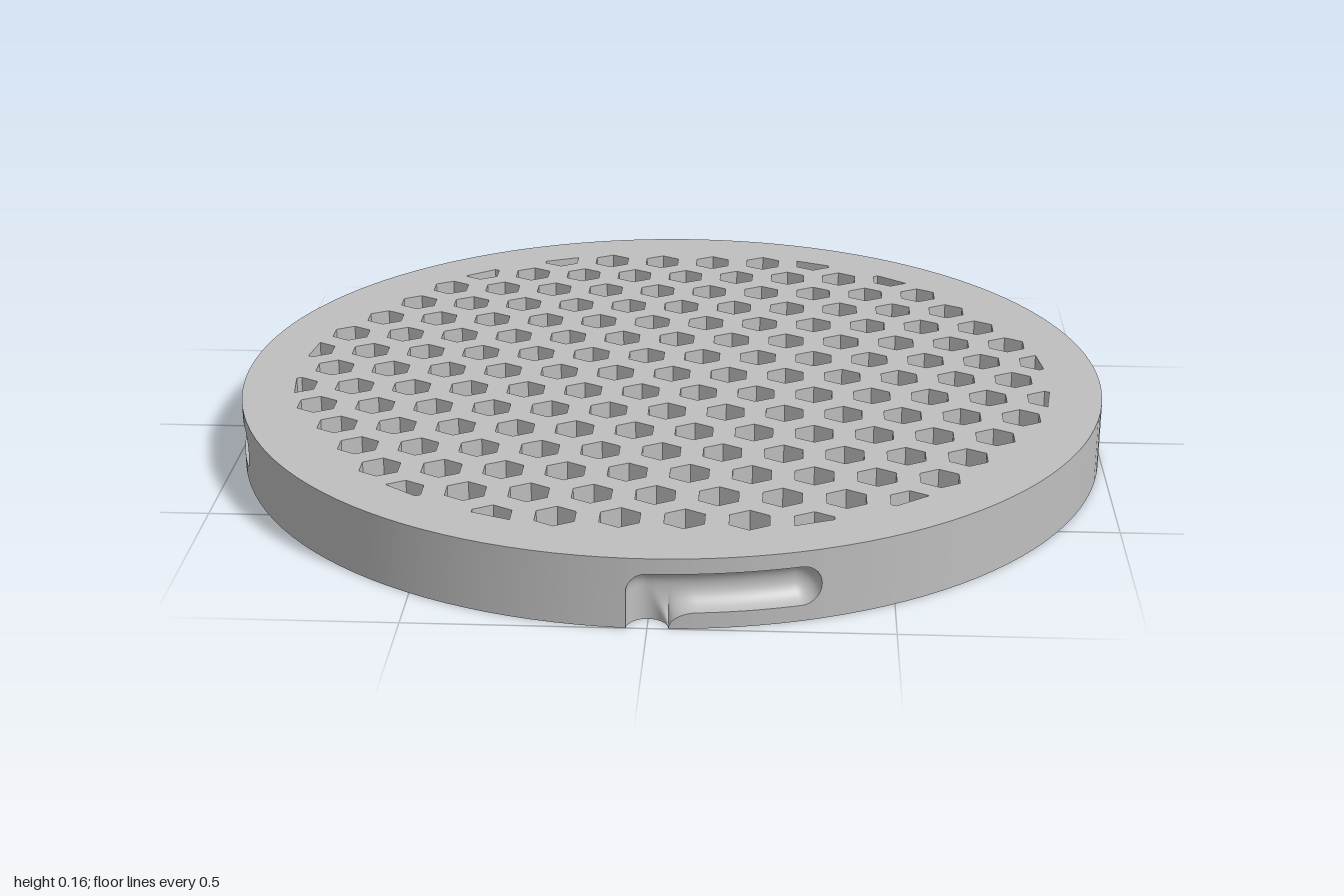
import * as THREE from 'three';

const H = 0.155;                     // disc thickness
const PITCH = 0.1333, HEX = 0.048;   // hole spacing and corner radius
const FIELD = 0.879;                 // perforated area radius
const R = 0.043, YC = 0.078;         // groove radius and centre height
const END = 0.314, FILLET = 0.1;     // groove end centre and slot fillet, as angles

const range = (a, b, n) => Array.from({ length: n + 1 }, (_, i) => a + (b - a) * i / n);
// Spacing that crowds towards both ends, for round outlines
const eased = (a, b, n) => range(0, Math.PI, n).map(t => a + (b - a) * (1 - Math.cos(t)) / 2);
const root = v => Math.sqrt(Math.max(0, v));

// Groove outline and depth at angle t around the rim
const halfHeight = t => root(R * R - Math.max(0, t - END, -t) ** 2);
const grooveTop = t => YC + halfHeight(t);
function grooveBottom(t) {
  if (t <= R + 1e-9) return 0;
  if (t < FILLET) return (YC - R) * root(1 - (1 - (t - R) / (FILLET - R)) ** 2);
  return YC - halfHeight(t);
}
function grooveDepth(t, y) {
  const w = halfHeight(t);
  const span = y > YC ? w : YC - grooveBottom(t);
  const across = span < 1e-6 ? 0 : w * root(1 - ((y - YC) / span) ** 2);
  const slot = y <= YC ? root(R * R - t * t) : 0;
  return Math.max(across, slot);
}

// Curved patch: one column per angle, rows spread between low(t) and high(t)
function patch(angles, low, high, rows, depth = () => 0) {
  const pos = [], index = [], n = rows.length;
  angles.forEach((t, i) => {
    for (const v of rows) {
      const y = low(t) + (high(t) - low(t)) * v;
      const r = 1 - depth(t, y);
      pos.push(r * Math.sin(t), y, r * Math.cos(t));
    }
    if (i === 0) return;
    for (let j = 0; j < n - 1; j++) {
      const a = (i - 1) * n + j, b = i * n + j;
      index.push(a, b, b + 1, a, b + 1, a + 1);
    }
  });
  const g = new THREE.BufferGeometry();
  g.setAttribute('position', new THREE.Float32BufferAttribute(pos, 3));
  g.setIndex(index);
  g.computeVertexNormals();
  return g;
}

// Hexagon trimmed by the edge of the perforated area
function hexagon(cx, cy) {
  const pts = range(0, 5, 5).map(i => {
    const a = Math.PI / 6 + i * Math.PI / 3;
    return new THREE.Vector2(cx + HEX * Math.cos(a), cy + HEX * Math.sin(a));
  });
  const out = new THREE.Vector2(cx, cy).normalize();
  const result = [];
  pts.forEach((p, i) => {
    const q = pts[(i + 1) % 6];
    const dp = FIELD - p.dot(out), dq = FIELD - q.dot(out);
    if (dp >= 0) result.push(p);
    if (dp * dq < 0) result.push(p.clone().lerp(q, dp / (dp - dq)));
  });
  return result;
}

function makeHoles() {
  const holes = [];
  for (let row = -7; row <= 7; row++) {
    for (let col = -7; col <= 7; col++) {
      const x = (col + (row % 2 ? 0.5 : 0)) * PITCH;
      const z = row * PITCH * Math.sqrt(3) / 2;
      if (Math.hypot(x, z) < 0.9) holes.push(hexagon(x, z));
    }
  }
  return holes;
}

// Flat face with the given outline and all the holes
function plate(outline, holes) {
  const shape = new THREE.Shape(outline);
  shape.holes = holes.map(h => new THREE.Path(h));
  return new THREE.ShapeGeometry(shape);
}

function holeWalls(holes) {
  const pos = [];
  for (const h of holes) {
    h.forEach((p, i) => {
      const q = h[(i + 1) % h.length];
      pos.push(p.x, 0, p.y, q.x, 0, q.y, q.x, H, q.y);
      pos.push(p.x, 0, p.y, q.x, H, q.y, p.x, H, p.y);
    });
  }
  const g = new THREE.BufferGeometry();
  g.setAttribute('position', new THREE.Float32BufferAttribute(pos, 3));
  g.computeVertexNormals();
  return g;
}

export function createModel() {
  const model = new THREE.Group();
  model.name = 'perforatedDisc';
  const grey = new THREE.MeshStandardMaterial({ color: 0xbfbfbf });
  grey.name = 'grey';
  const add = (parent, name, geometry) => {
    const mesh = new THREE.Mesh(geometry, grey);
    mesh.name = name;
    parent.add(mesh);
    return mesh;
  };

  // Columns of one quarter of the rim
  const slot = eased(-R, R, 20);
  const arm = [...eased(R, FILLET, 12), ...range(FILLET, END, 12).slice(1),
    ...eased(END, END + R, 12).slice(1)];
  const groove = [...slot, ...arm.slice(1)];
  const plain = range(END + R, Math.PI / 2 - R, 24);
  const zero = () => 0, full = () => H;

  // Rim with four hooked locking grooves
  for (let k = 0; k < 4; k++) {
    const quarter = new THREE.Group();
    quarter.name = 'rimQuarter' + (k + 1);
    quarter.rotation.y = k * Math.PI / 2;
    add(quarter, 'plainRim', patch(plain, zero, full, [0, 1]));
    add(quarter, 'rimAboveGroove', patch(groove, grooveTop, full, [0, 1]));
    add(quarter, 'rimBelowGroove', patch(arm, zero, grooveBottom, [0, 1]));
    add(quarter, 'lockingGroove', patch(groove, grooveBottom, grooveTop, eased(0, 1, 24), grooveDepth));
    model.add(quarter);
  }

  // Faces: the underside is notched where the grooves open downwards
  const top = [], bottom = [];
  for (let k = 0; k < 4; k++) {
    for (const t of [...groove, ...plain.slice(1, -1)]) {
      const a = t + k * Math.PI / 2;
      const r = t < R ? 1 - grooveDepth(t, 0) : 1;
      top.push(new THREE.Vector2(Math.sin(a), -Math.cos(a)));
      bottom.push(new THREE.Vector2(r * Math.sin(a), r * Math.cos(a)));
    }
  }
  const holes = makeHoles();
  add(model, 'topFace', plate(top, holes).rotateX(-Math.PI / 2)).position.y = H;
  add(model, 'underside', plate(bottom, holes).rotateX(Math.PI / 2));
  add(model, 'hexHoleWalls', holeWalls(holes));
  return model;
}
